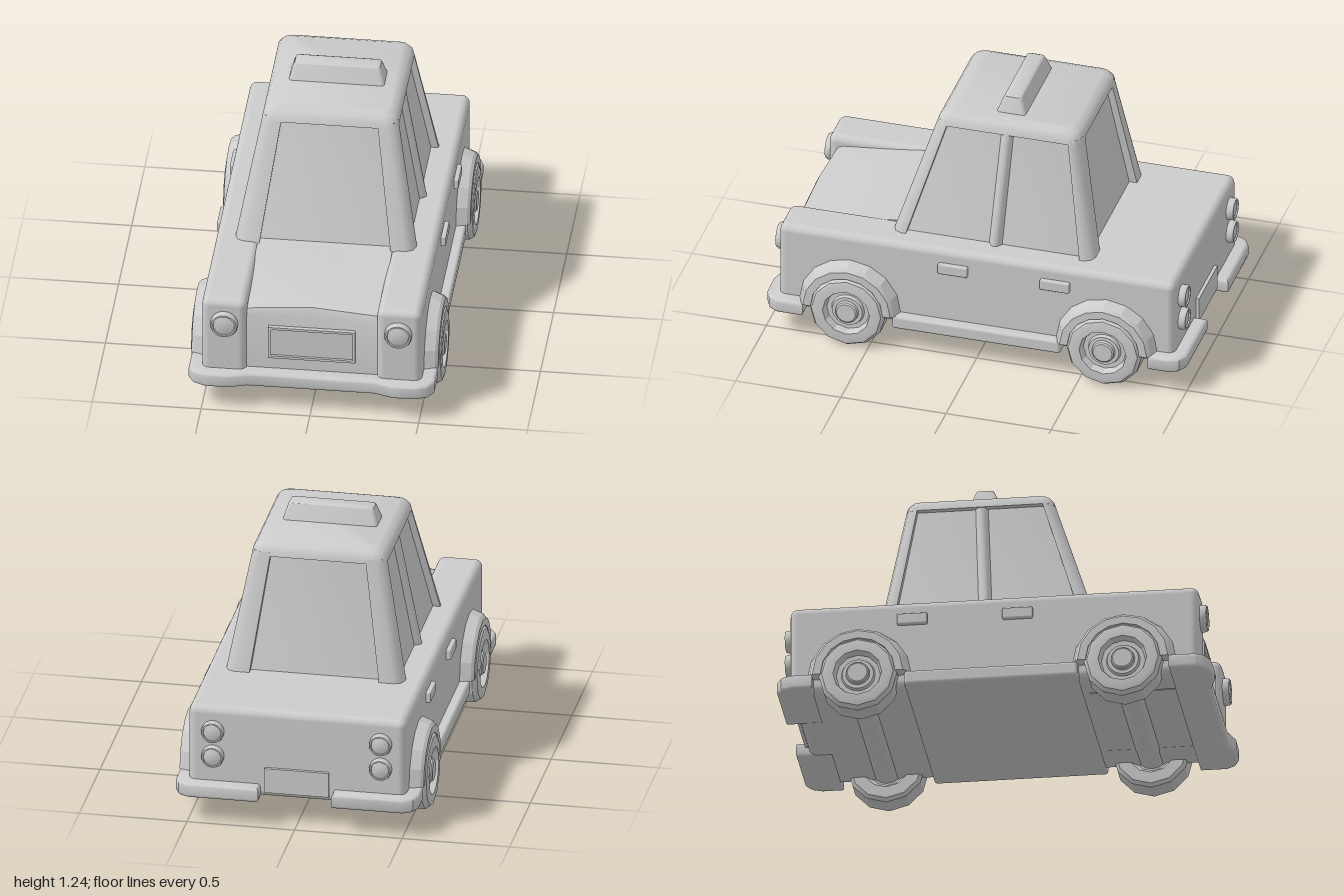
import * as THREE from 'three';
import { toCreasedNormals } from 'three/addons/utils/BufferGeometryUtils.js';
import { RoundedBoxGeometry } from 'three/addons/geometries/RoundedBoxGeometry.js';

const grey = new THREE.MeshStandardMaterial({ color: 0xcccccc });

// Closed solid through rings of [x, y, z] points, with capped ends, always facing outward
function loft(rings, crease = 0.6) {
  const n = rings[0].length;
  const tris = [];
  for (let i = 0; i < rings.length - 1; i++) {
    for (let j = 0; j < n; j++) {
      const k = (j + 1) % n;
      const [a, b, c, d] = [rings[i][j], rings[i][k], rings[i + 1][k], rings[i + 1][j]];
      tris.push([a, b, c], [a, c, d]);
    }
  }
  const last = rings[rings.length - 1];
  for (let j = 1; j < n - 1; j++) {
    tris.push([rings[0][0], rings[0][j + 1], rings[0][j]], [last[0], last[j], last[j + 1]]);
  }
  let volume = 0;
  for (const [a, b, c] of tris) {
    volume += new THREE.Vector3(...a).dot(new THREE.Vector3(...b).cross(new THREE.Vector3(...c)));
  }
  if (volume < 0) tris.forEach((t) => t.reverse());
  const geo = new THREE.BufferGeometry();
  geo.setAttribute('position', new THREE.Float32BufferAttribute(tris.flat(2), 3));
  return toCreasedNormals(geo, crease);
}

// Horizontal rounded rectangle at height y
function roundRect(y, hx, z0, z1, r) {
  const pts = [];
  const corners = [[hx - r, z1 - r], [r - hx, z1 - r], [r - hx, z0 + r], [hx - r, z0 + r]];
  corners.forEach(([cx, cz], q) => {
    for (let s = 0; s <= 3; s++) {
      const a = (q + s / 3) * Math.PI / 2;
      pts.push([cx + r * Math.cos(a), y, cz + r * Math.sin(a)]);
    }
  });
  return pts;
}

// Rounded box given by its limits
function box(x0, x1, y0, y1, z0, z1, r) {
  return new RoundedBoxGeometry(x1 - x0, y1 - y0, z1 - z0, 3, r)
    .translate((x0 + x1) / 2, (y0 + y1) / 2, (z0 + z1) / 2);
}

const lathe = (pts, sides, crease = 0.5) =>
  toCreasedNormals(new THREE.LatheGeometry(pts.map((p) => new THREE.Vector2(...p)), sides), crease);

// Bevelled bumper from an outline of [x, z] points
function bumper(outline) {
  const shape = new THREE.Shape(outline.map(([x, z]) => new THREE.Vector2(x, -z)));
  const geo = new THREE.ExtrudeGeometry(shape, {
    depth: 0.04, bevelThickness: 0.015, bevelSize: 0.015, bevelOffset: -0.015, bevelSegments: 3,
  });
  return toCreasedNormals(geo.rotateX(-Math.PI / 2).translate(0, 0.135, 0), 0.6);
}

// Corner post leaning from the body to the roof; s is 1 at the front, -1 at the back
function cornerPost(side, s, zBottom, zTop) {
  const ring = (y, X, Z, wx, wz, r) => [
    [X - wx, Z], [X - r, Z], [X - 0.3 * r, Z - s * 0.3 * r], [X, Z - s * r],
    [X, Z - s * wz], [X - wx, Z - s * wz],
  ].map(([x, z]) => [side * x, y, z]);
  return loft([
    ring(0.54, 0.418, zBottom, 0.115, 0.065, 0.045),
    ring(1.12, 0.31, zTop, 0.09, 0.055, 0.045),
  ], 0.9);
}

export function createModel() {
  const car = new THREE.Group();
  car.name = 'car';
  const add = (name, geo, parent = car) => {
    const mesh = new THREE.Mesh(geo, grey);
    mesh.name = name;
    parent.add(mesh);
    return mesh;
  };

  // Body: main tub, bonnet with a slight ridge, sills
  add('body', box(-0.505, 0.505, 0.125, 0.555, -0.94, 0.43, 0.035));
  add('bonnet', loft([[-0.31, 0.508], [0, 0.533], [0.31, 0.508]].map(([x, yf]) => [
    [0.35, 0.13], [0.35, 0.552], [0.45, 0.55], [0.865, yf], [0.895, yf - 0.012],
    [0.91, yf - 0.045], [0.91, 0.13],
  ].map(([z, y]) => [x, y, z])), 0.7));
  add('sills', box(-0.55, 0.55, 0.12, 0.188, -0.41, 0.39, 0.015));

  // Cabin: recessed glass, roof and roof sign
  add('windows', loft([
    roundRect(0.53, 0.385, -0.495, 0.4, 0.02),
    roundRect(1.12, 0.28, -0.4, 0.215, 0.02),
  ]));
  add('roof', loft([
    roundRect(1.1, 0.314, -0.434, 0.254, 0.05),
    roundRect(1.125, 0.309, -0.43, 0.246, 0.05),
    roundRect(1.147, 0.295, -0.415, 0.23, 0.05),
    roundRect(1.16, 0.265, -0.385, 0.2, 0.04),
  ], 0.8));
  add('roofSign', loft([
    roundRect(1.15, 0.222, -0.152, -0.008, 0.015),
    roundRect(1.22, 0.202, -0.128, -0.035, 0.015),
    roundRect(1.234, 0.196, -0.122, -0.041, 0.015),
    roundRect(1.24, 0.182, -0.11, -0.053, 0.012),
  ], 0.7));

  // Front grille: raised frame around a flat panel
  const frame = new THREE.Shape([[-0.2, 0.255], [0.2, 0.255], [0.2, 0.42], [-0.2, 0.42]]
    .map((p) => new THREE.Vector2(...p)));
  frame.holes.push(new THREE.Path([[-0.188, 0.267], [-0.188, 0.408], [0.188, 0.408], [0.188, 0.267]]
    .map((p) => new THREE.Vector2(...p))));
  add('grilleFrame', new THREE.ExtrudeGeometry(frame, { depth: 0.03, bevelEnabled: false })
    .translate(0, 0, 0.9));
  add('grillePanel', new THREE.BoxGeometry(0.38, 0.145, 0.02).translate(0, 0.3375, 0.908));
  add('rearPlate', new THREE.BoxGeometry(0.3, 0.12, 0.03).translate(0, 0.215, -0.94));

  // Front bumper, with its middle set back
  const half = [[0.565, 0.81], [0.565, 0.935], [0.54, 0.975], [0.49, 0.998], [0.38, 1], [0.29, 0.972]];
  add('frontBumper', bumper([...half, ...half.map(([x, z]) => [-x, z]).reverse()]));

  const lampProfile = (r) => [[r, 0], [r, 0.025], [r * 0.92, 0.035], [r * 0.8, 0.035],
    [r * 0.77, 0.028], [r * 0.4, 0.034], [0, 0.036]];
  const headlight = lathe(lampProfile(0.063), 20).rotateX(Math.PI / 2);
  const tailLight = lathe(lampProfile(0.052), 20).rotateX(-Math.PI / 2);

  // Wheel parts, turned around the x axis
  const tyre = lathe([[0.085, 0.475], [0.11, 0.435], [0.165, 0.435], [0.18, 0.45], [0.18, 0.55],
    [0.165, 0.572], [0.15, 0.576], [0.112, 0.576], [0.1, 0.535]], 12).rotateZ(-Math.PI / 2);
  const rim = lathe([[0, 0.475], [0.1, 0.475], [0.106, 0.54], [0.078, 0.54], [0.072, 0.556],
    [0.055, 0.556], [0.052, 0.57], [0.045, 0.576], [0, 0.576]], 24).rotateZ(-Math.PI / 2);

  // Flared arch over a wheel
  const archRings = [];
  for (let i = 0; i <= 8; i++) {
    const a = i * Math.PI / 8;
    archRings.push([[0.172, 0.48], [0.24, 0.48], [0.24, 0.505], [0.222, 0.553], [0.208, 0.567],
      [0.172, 0.567]].map(([r, x]) => [x, r * Math.sin(a), r * Math.cos(a)]));
  }
  const arch = loft(archRings, 0.3);

  // Everything that comes in left and right pairs
  for (const side of [1, -1]) {
    const label = side > 0 ? 'left' : 'right';
    const span = (a, b) => (side > 0 ? [a, b] : [-b, -a]);
    add(label + 'FrontWing', box(...span(0.3, 0.505), 0.125, 0.555, 0.2, 0.94, 0.035));
    add(label + 'FrontPost', cornerPost(side, 1, 0.432, 0.247));
    add(label + 'RearPost', cornerPost(side, -1, -0.53, -0.431));
    const post = (y, X, z) => [[X - 0.06, z + 0.05], [X - 0.008, z + 0.018], [X, z + 0.008],
      [X, z - 0.008], [X - 0.008, z - 0.018], [X - 0.06, z - 0.05]].map(([x, zz]) => [side * x, y, zz]);
    add(label + 'MiddlePost', loft([post(0.54, 0.412, -0.055), post(1.12, 0.306, -0.085)], 0.7));

    add(label + 'Headlight', headlight).position.set(side * 0.4, 0.435, 0.935);
    for (const y of [0.437, 0.315]) {
      add(label + 'TailLight', tailLight).position.set(side * 0.39, y, -0.937);
    }
    for (const z of [0.11, -0.375]) {
      add(label + 'DoorHandle', box(...span(0.49, 0.526), 0.435, 0.487, z - 0.07, z + 0.07, 0.007));
    }
    add(label + 'RearBumper', bumper([[0.17, -0.83], [0.17, -1], [0.5, -1], [0.545, -0.975],
      [0.565, -0.93], [0.565, -0.83]].map(([x, z]) => [side * x, z])));

    for (const [end, z] of [['Front', 0.6], ['Rear', -0.62]]) {
      const wheel = new THREE.Group();
      wheel.name = label + end + 'Wheel';
      wheel.position.set(0, 0.18, z);
      wheel.rotation.y = side > 0 ? 0 : Math.PI;
      add('tyre', tyre, wheel);
      add('rim', rim, wheel);
      add('wheelArch', arch, wheel).position.y = 0.005;
      car.add(wheel);
    }
  }

  // Axles
  for (const z of [0.6, -0.62]) {
    add('axle', new THREE.CylinderGeometry(0.075, 0.075, 0.96, 16).rotateZ(Math.PI / 2))
      .position.set(0, 0.18, z);
  }
  return car;
}
